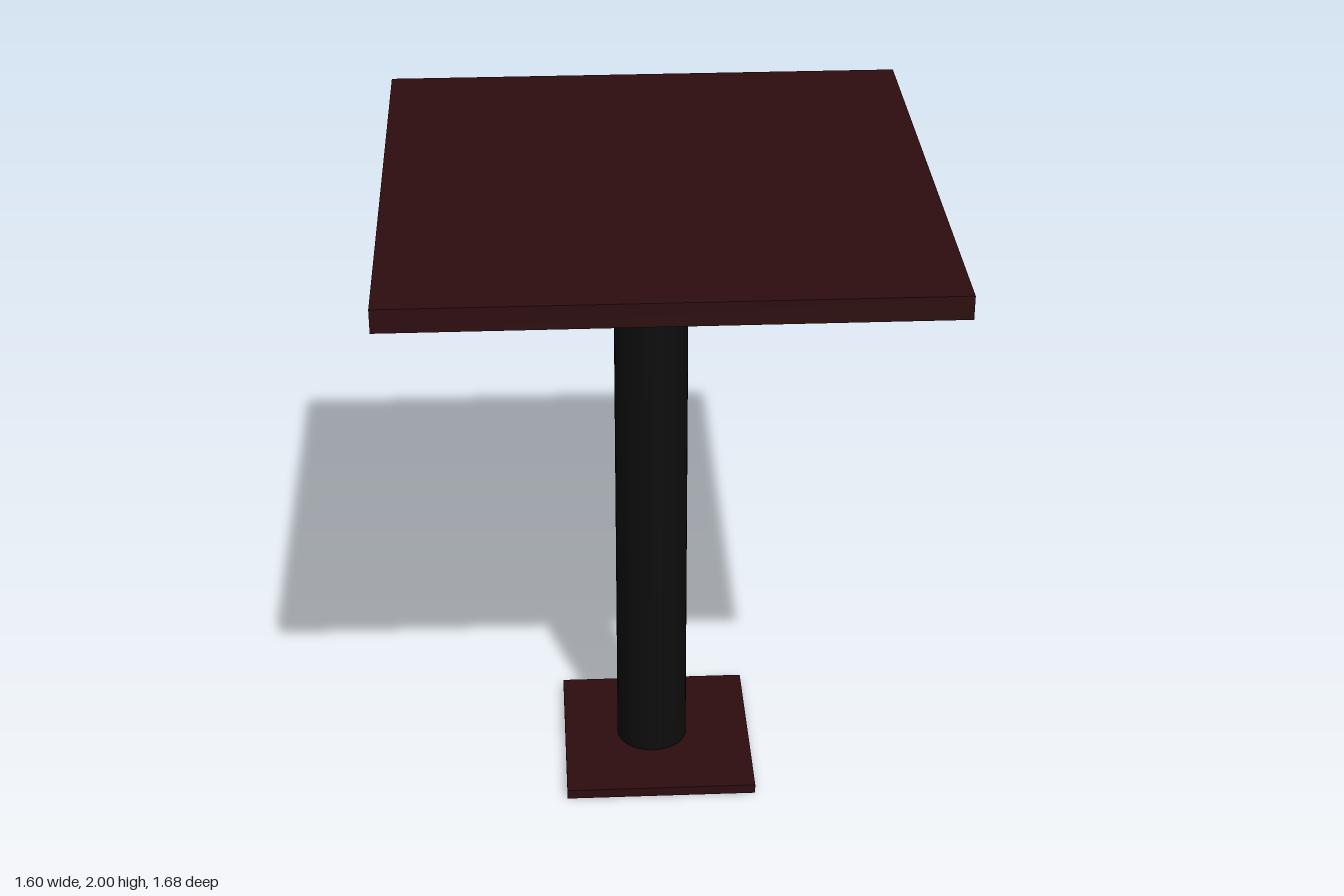
import * as THREE from 'three';

export function createModel() {
  const model = new THREE.Group();
  model.name = 'pedestalTable';

  const wood = new THREE.MeshStandardMaterial({ color: 0x2d0d0f });
  wood.name = 'dark red wood';
  const black = new THREE.MeshStandardMaterial({ color: 0x0d0d0d });
  black.name = 'black metal';

  // Adds a named part whose underside sits at the given height
  const addPart = (name, geometry, material, x, bottom, height) => {
    const mesh = new THREE.Mesh(geometry, material);
    mesh.name = name;
    mesh.position.set(x, bottom + height / 2, 0);
    model.add(mesh);
  };

  // Square-edged top and the small foot plate
  addPart('tableTop', new THREE.BoxGeometry(1.604, 0.07, 1.676), wood, 0, 1.93, 0.07);
  addPart('basePlate', new THREE.BoxGeometry(0.6, 0.031, 0.626), wood, -0.002, 0, 0.031);

  // Round column, slightly off centre, just clear of the plate
  addPart('column', new THREE.CylinderGeometry(0.112, 0.112, 1.895, 32), black, -0.018, 0.035, 1.895);

  return model;
}
